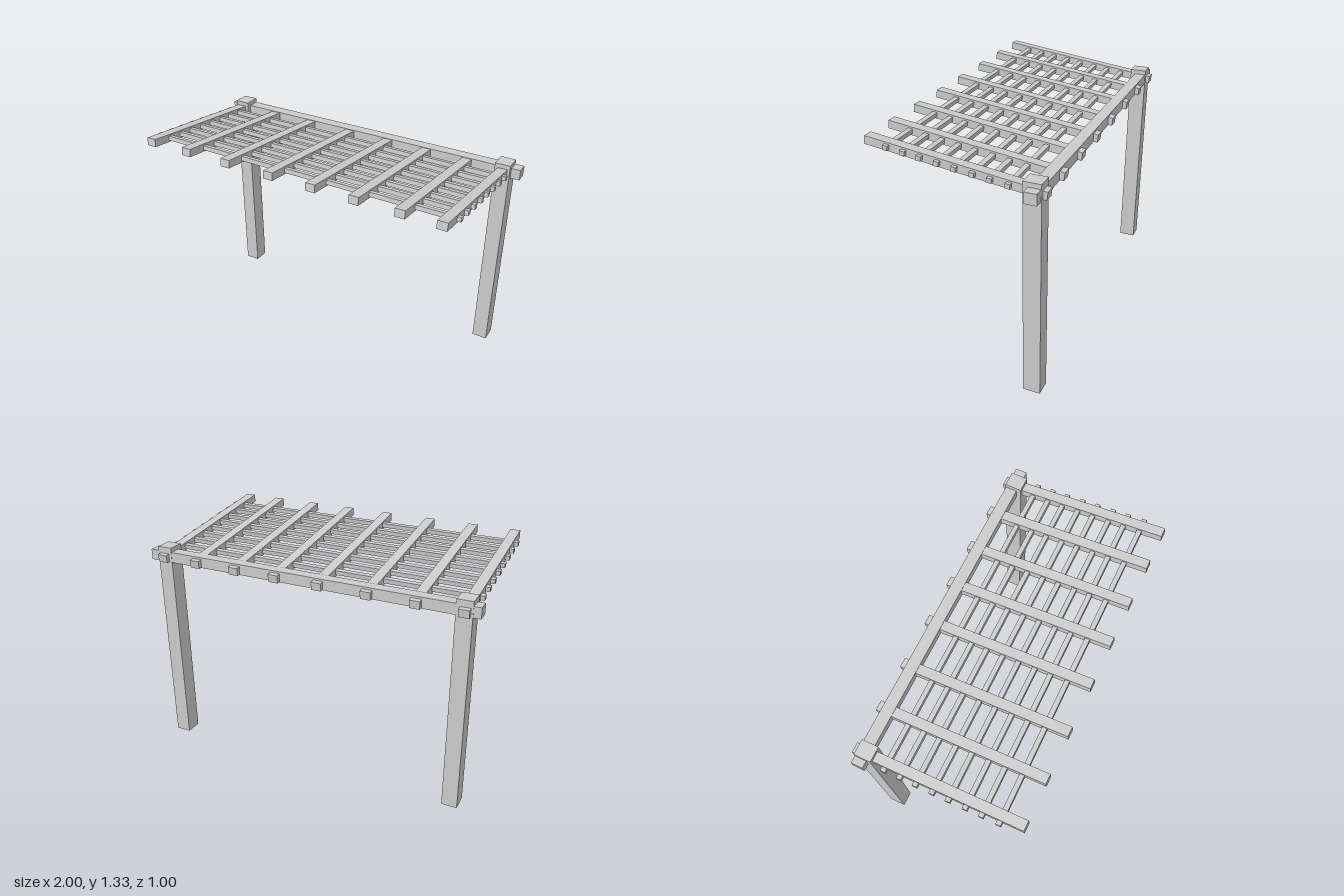
import * as THREE from 'three';

const material = new THREE.MeshStandardMaterial({ color: 0xcccccc, flatShading: true });

function addBeam(parent, name, size, position) {
  const mesh = new THREE.Mesh(new THREE.BoxGeometry(...size), material);
  mesh.name = name;
  mesh.position.set(...position);
  parent.add(mesh);
}

export function createModel() {
  const model = new THREE.Group();
  model.name = 'pergola';

  // Two square posts at the back
  addBeam(model, 'rightPost', [0.09, 1.255, 0.098], [-0.913, 0.6275, -0.425]);
  addBeam(model, 'leftPost', [0.09, 1.255, 0.098], [0.902, 0.6275, -0.425]);

  // Horizontal beam running through the post tops
  addBeam(model, 'crossBeam', [2, 0.062, 0.068], [0, 1.198, -0.438]);

  // Sloping roof, rising towards the front
  const tilt = 0.121;
  const roof = new THREE.Group();
  roof.name = 'roof';
  roof.position.y = 1.2515;
  roof.rotation.x = -tilt;
  model.add(roof);

  // Rafters from back to front
  for (const x of [-0.917, -0.66, -0.388, -0.102, 0.163, 0.42, 0.679, 0.904]) {
    addBeam(roof, 'rafter', [0.058, 0.046, 1.002], [x, 0, 0]);
  }

  // Thin slats threaded through the rafters
  for (const z of [0.366, 0.269, 0.177, 0.08, -0.014, -0.112, -0.205, -0.301]) {
    addBeam(roof, 'slat', [1.925, 0.026, 0.028], [-0.008, 0, z / Math.cos(tilt)]);
  }

  return model;
}
